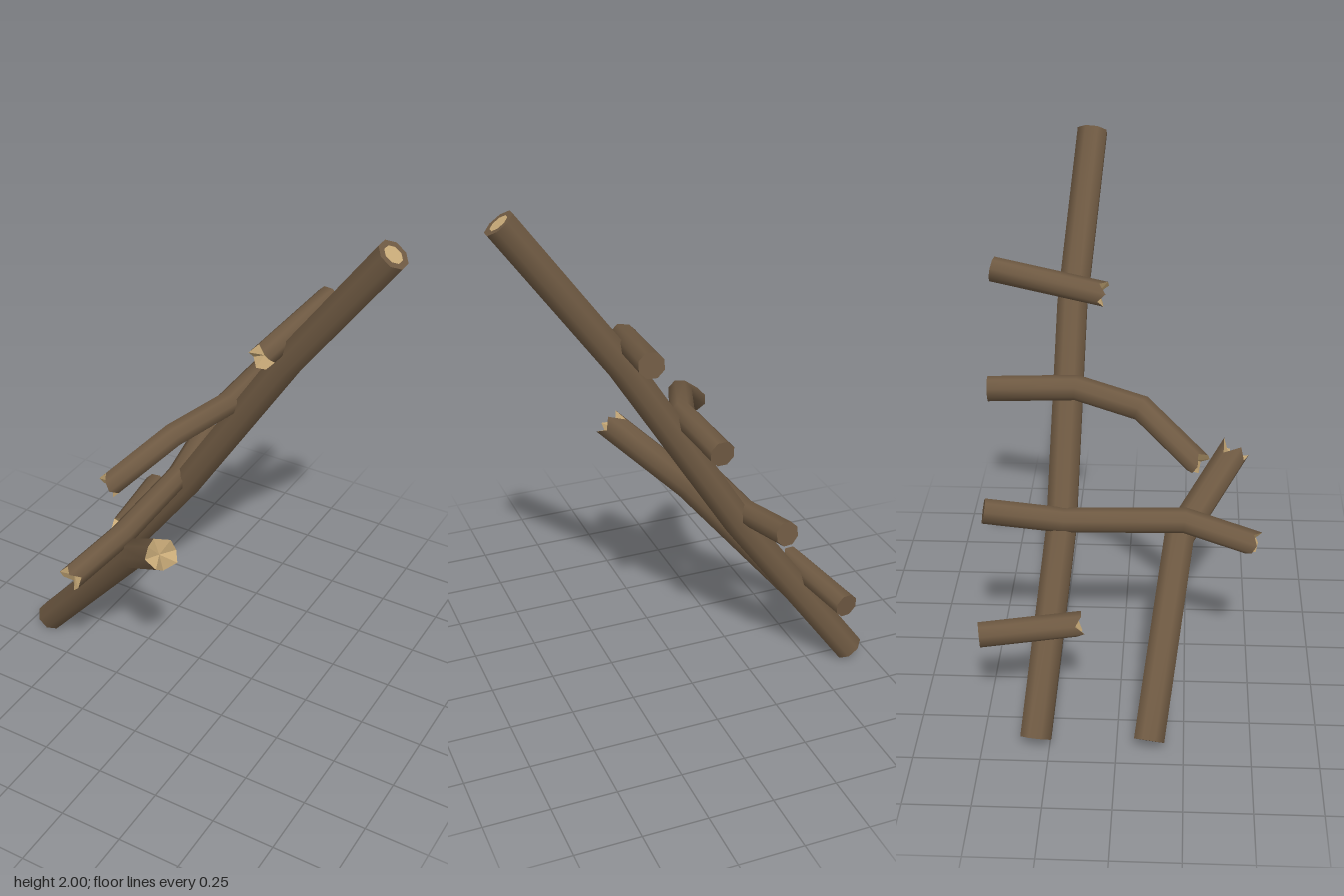
import * as THREE from 'three';

const SIDES = 8;
const V = (a) => new THREE.Vector3(...a);

function geometry(points, index) {
  const g = new THREE.BufferGeometry().setFromPoints(points);
  g.setIndex(index);
  return g;
}

// Mitred rings of a pole along a path; jag shifts the last ring along the pole
function poleRings(path, radius, jag) {
  const pts = path.map(V);
  const dirs = pts.slice(1).map((p, i) => p.clone().sub(pts[i]).normalize());
  const ref = Math.abs(dirs[0].y) > 0.6 ? new THREE.Vector3(0, 0, 1) : new THREE.Vector3(0, 1, 0);
  const u = ref.clone().addScaledVector(dirs[0], -ref.dot(dirs[0])).normalize();
  const v = dirs[0].clone().cross(u);
  let offsets = [];
  for (let j = 0; j < SIDES; j++) {
    const a = ((j + 0.5) / SIDES) * Math.PI * 2;
    offsets.push(u.clone().multiplyScalar(Math.cos(a) * radius).addScaledVector(v, Math.sin(a) * radius));
  }
  const rings = pts.map((p, i) => {
    if (i > 0) {
      const d = dirs[i - 1];
      const n = d.clone().add(dirs[i] || d).normalize();
      offsets = offsets.map((o) => o.clone().addScaledVector(d, -o.dot(n) / d.dot(n)));
    }
    return offsets.map((o) => o.clone().add(p));
  });
  const last = dirs[dirs.length - 1];
  if (jag) rings[rings.length - 1].forEach((p, j) => p.addScaledVector(last, jag[j]));
  return { rings, start: pts[0], end: pts[pts.length - 1], last };
}

// Smooth side wall between successive rings
function wall(rings) {
  const index = [];
  for (let i = 0; i < rings.length - 1; i++) {
    for (let j = 0; j < SIDES; j++) {
      const k = (j + 1) % SIDES;
      const a = i * SIDES + j, b = i * SIDES + k;
      index.push(a, b, b + SIDES, a, b + SIDES, a + SIDES);
    }
  }
  const g = geometry(rings.flat(), index);
  g.computeVertexNormals();
  return g;
}

// Faceted fan closing a ring
function fan(ring, centre, flip) {
  const index = [];
  for (let j = 0; j < SIDES; j++) {
    const k = (j + 1) % SIDES;
    if (flip) index.push(SIDES, k, j);
    else index.push(SIDES, j, k);
  }
  const g = geometry([...ring, centre], index).toNonIndexed();
  g.computeVertexNormals();
  return g;
}

export function createModel() {
  const bark = new THREE.MeshStandardMaterial({ name: 'bark', color: 0x6e5942 });
  const wood = new THREE.MeshStandardMaterial({ name: 'bareWood', color: 0xc8aa78 });
  const model = new THREE.Group();
  model.name = 'brokenLadder';

  function addPole(name, path, radius, jag) {
    const group = new THREE.Group();
    group.name = name;
    const add = (part, geo, mat) => {
      const mesh = new THREE.Mesh(geo, mat);
      mesh.name = part;
      group.add(mesh);
    };
    const { rings, start, end, last } = poleRings(path, radius, jag);
    const tip = rings[rings.length - 1];
    add('pole', wall(rings), bark);
    add('footCap', fan(rings[0], start, true), bark);
    if (jag) {
      // splintered end with a sunken core
      add('splinteredEnd', fan(tip, end.clone().addScaledVector(last, -radius * 0.35), false), wood);
    } else {
      // sawn end: bark rim around a bare core
      const inner = tip.map((p) => p.clone().lerp(end, 0.38));
      add('barkRim', wall([tip, inner]), bark);
      add('sawnEnd', fan(inner, end, false), wood);
    }
    model.add(group);
  }

  // Rails
  addPole('longRail',
    [[-0.665, 0.04, -0.3], [-0.2, 0.68, -0.228], [0.255, 1.4, -0.208], [0.665, 1.963, -0.15]], 0.061);
  addPole('brokenRail',
    [[-0.665, 0.04, 0.122], [-0.17, 0.63, 0.22], [0.085, 0.855, 0.42]], 0.061,
    [0.035, -0.03, 0.03, 0.0, 0.03, -0.035, 0.02, -0.01]);

  // Rungs, from the lowest to the highest
  const rungs = [
    [[-0.525, 0.4, -0.515], [-0.465, 0.418, -0.15]],
    [[-0.26, 0.775, -0.515], [-0.225, 0.722, -0.22], [-0.205, 0.72, 0.24], [-0.265, 0.663, 0.5]],
    [[0.005, 1.155, -0.515], [0.018, 1.16, -0.18], [-0.075, 1.125, 0.07], [-0.222, 0.975, 0.285]],
    [[0.268, 1.535, -0.515], [0.21, 1.465, -0.09]],
  ];
  const jag = [0.012, -0.015, 0.018, -0.008, 0.015, 0.005, -0.018, 0.015];
  rungs.forEach((path, i) => {
    const turned = jag.map((_, j) => jag[(j + i * 3) % SIDES]);
    addPole('rung' + (i + 1), path, 0.048, turned);
  });

  return model;
}
